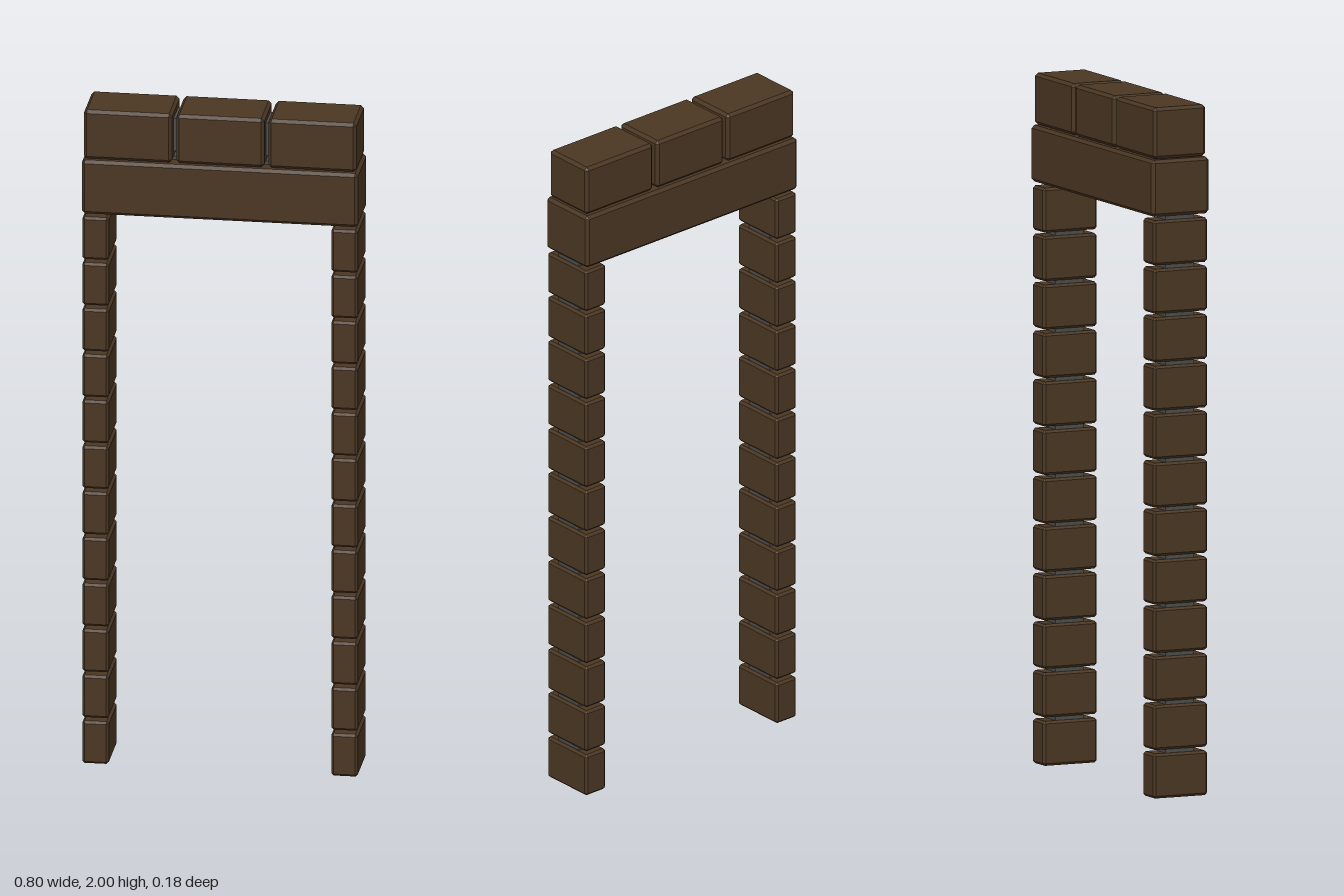
import * as THREE from 'three';
import { ConvexGeometry } from 'three/addons/geometries/ConvexGeometry.js';

// Box with flat 45 degree chamfers on every edge
function chamferBox(w, h, d, c) {
  const pts = [];
  for (const sx of [-1, 1]) for (const sy of [-1, 1]) for (const sz of [-1, 1]) {
    const x = w / 2, y = h / 2, z = d / 2;
    pts.push(new THREE.Vector3(sx * x, sy * (y - c), sz * (z - c)));
    pts.push(new THREE.Vector3(sx * (x - c), sy * y, sz * (z - c)));
    pts.push(new THREE.Vector3(sx * (x - c), sy * (y - c), sz * z));
  }
  return new ConvexGeometry(pts);
}

export function createModel() {
  const group = new THREE.Group();
  group.name = 'brickDoorway';
  const brick = new THREE.MeshStandardMaterial({ color: 0x4a3622 });
  brick.name = 'brownBrick';
  const mortar = new THREE.MeshStandardMaterial({ color: 0x4c4c4a });
  mortar.name = 'greyMortar';

  function add(parent, name, geometry, material, x, y) {
    const mesh = new THREE.Mesh(geometry, material);
    mesh.name = name;
    mesh.position.set(x, y, 0);
    parent.add(mesh);
  }

  // Two pillars of stacked bricks, with mortar pads in the joints
  const count = 12, pitch = 0.1404, gap = 0.011;
  const brickGeo = chamferBox(0.077, pitch - gap, 0.172, 0.007);
  const padGeo = new THREE.BoxGeometry(0.06, gap + 0.01, 0.09);
  for (const side of [-1, 1]) {
    const pillar = new THREE.Group();
    pillar.name = side > 0 ? 'leftPillar' : 'rightPillar';
    for (let i = 0; i < count; i++) {
      const y = i * pitch + (pitch - gap) / 2;
      add(pillar, 'pillarBrick', brickGeo, brick, side * 0.3605, y);
      add(pillar, 'pillarMortar', padGeo, mortar, side * 0.3605, y + pitch / 2);
    }
    group.add(pillar);
  }

  // Lintel beam across both pillars
  add(group, 'lintel', chamferBox(0.8, 0.164, 0.182, 0.009), brick, 0, 1.767);

  // Row of three blocks on the lintel, mortar in the two joints
  const blockGeo = chamferBox(0.255, 0.149, 0.166, 0.009);
  for (const i of [-1, 0, 1]) add(group, 'topBlock', blockGeo, brick, i * 0.267, 1.9255);
  const jointGeo = new THREE.BoxGeometry(0.02, 0.1, 0.09);
  for (const s of [-1, 1]) add(group, 'topMortar', jointGeo, mortar, s * 0.1335, 1.9255);
  add(group, 'bedMortar', new THREE.BoxGeometry(0.74, 0.02, 0.09), mortar, 0, 1.85);

  return group;
}
